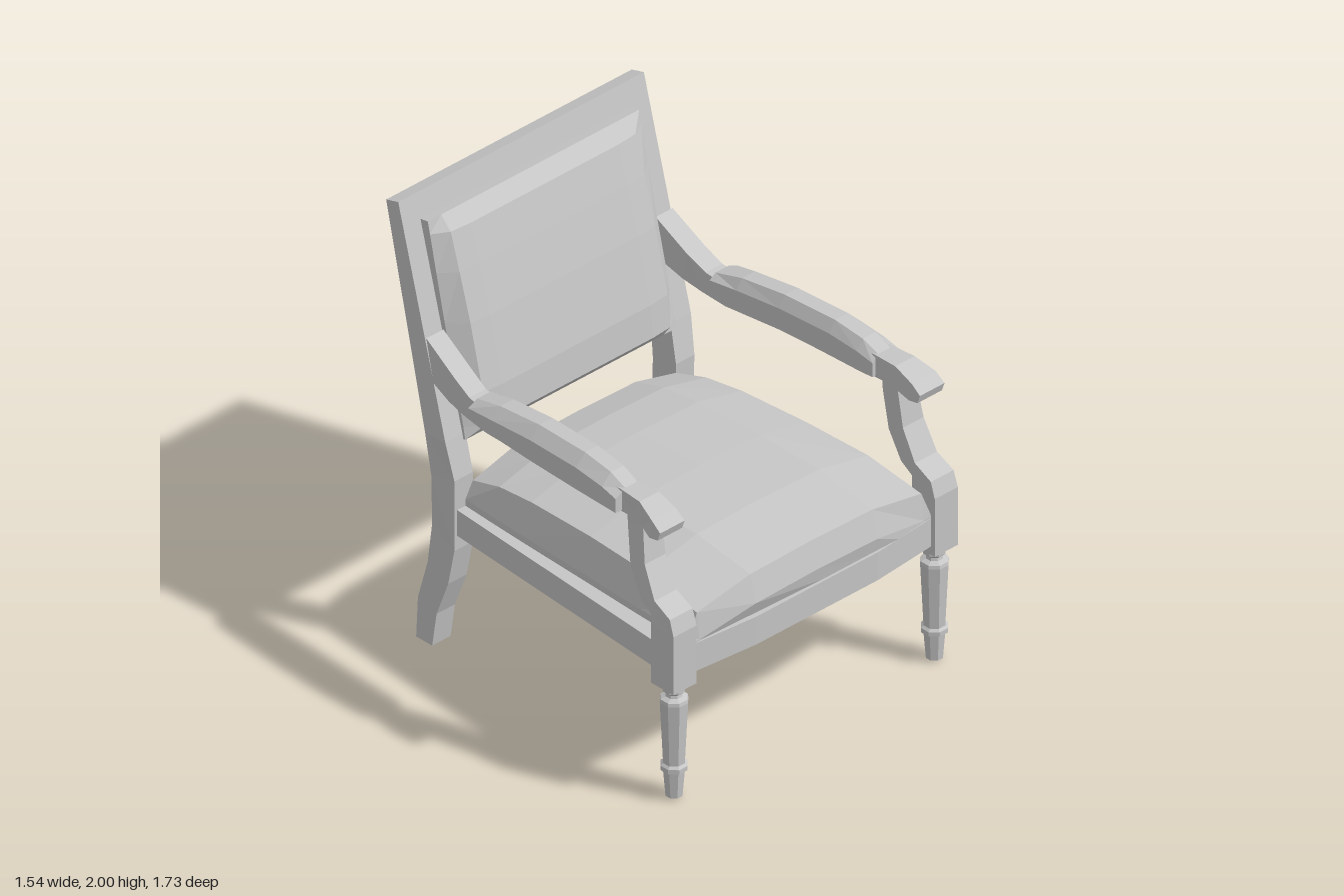
import * as THREE from 'three';

// Closed loft through equal-length loops of [x, y, z], capped, faceted, facing outward
function loft(loops) {
  const tris = [], n = loops[0].length, last = loops.length - 1;
  for (let i = 0; i < last; i++) {
    for (let j = 0; j < n; j++) {
      const k = (j + 1) % n, a = loops[i], b = loops[i + 1];
      tris.push([a[j], a[k], b[k]], [a[j], b[k], b[j]]);
    }
  }
  for (let j = 1; j < n - 1; j++) {
    tris.push([loops[0][0], loops[0][j + 1], loops[0][j]]);
    tris.push([loops[last][0], loops[last][j], loops[last][j + 1]]);
  }
  let volume = 0;
  for (const [a, b, c] of tris) {
    volume += a[0] * (b[1] * c[2] - b[2] * c[1]) + a[1] * (b[2] * c[0] - b[0] * c[2]) + a[2] * (b[0] * c[1] - b[1] * c[0]);
  }
  if (volume < 0) tris.forEach((t) => t.reverse());
  const geo = new THREE.BufferGeometry();
  geo.setAttribute('position', new THREE.Float32BufferAttribute(tris.flat(2), 3));
  geo.computeVertexNormals();
  return geo;
}

// Four-sided beam: each station is [zA, yA, zB, yB, xInner, xOuter]
function beam(stations, side = 1) {
  return loft(stations.map(([za, ya, zb, yb, xi, xo]) => [
    [side * xi, ya, za], [side * xo, ya, za], [side * xo, yb, zb], [side * xi, yb, zb],
  ]));
}

const rearLeg = [
  [-0.63, 0, -0.72, 0, 0.545, 0.645],
  [-0.605, 0.16, -0.71, 0.19, 0.545, 0.645],
  [-0.54, 0.33, -0.655, 0.38, 0.545, 0.645],
  [-0.505, 0.5, -0.63, 0.57, 0.545, 0.645],
  [-0.5, 0.83, -0.63, 0.8, 0.55, 0.65],
  [-0.535, 1.0, -0.65, 1.0, 0.555, 0.665],
];
const armPost = [
  [0.857, 0.53, 0.73, 0.53, 0.645, 0.77],
  [0.857, 0.8, 0.73, 0.8, 0.645, 0.77],
  [0.835, 0.87, 0.73, 0.85, 0.645, 0.768],
  [0.745, 0.915, 0.667, 0.89, 0.645, 0.765],
  [0.68, 1.05, 0.6, 1.01, 0.643, 0.755],
  [0.655, 1.21, 0.57, 1.18, 0.64, 0.74],
  [0.65, 1.29, 0.56, 1.29, 0.642, 0.736],
];
const armRail = [
  [0.782, 1.25, 0.768, 1.21, 0.637, 0.77],
  [0.735, 1.285, 0.72, 1.2, 0.637, 0.768],
  [0.64, 1.32, 0.65, 1.213, 0.64, 0.745],
  [0.53, 1.32, 0.57, 1.22, 0.64, 0.735],
  [0, 1.3, 0, 1.2, 0.62, 0.715],
  [-0.275, 1.28, -0.275, 1.185, 0.6, 0.695],
  [-0.38, 1.295, -0.4, 1.195, 0.595, 0.685],
  [-0.47, 1.34, -0.5, 1.215, 0.585, 0.678],
  [-0.64, 1.44, -0.6, 1.25, 0.575, 0.667],
];
// Arm pad stations: z, bottom, shoulder, top, xInner, xOuter
const armPad = [
  [0.53, 1.225, 1.29, 1.32, 0.622, 0.768],
  [0.45, 1.225, 1.31, 1.355, 0.616, 0.766],
  [0.3, 1.225, 1.325, 1.375, 0.61, 0.762],
  [0.03, 1.225, 1.32, 1.37, 0.598, 0.75],
  [-0.2, 1.23, 1.3, 1.343, 0.587, 0.74],
  [-0.34, 1.245, 1.285, 1.307, 0.578, 0.73],
];
// Turned front leg: radius, height
const turnedLeg = [
  [0, 0.01], [0.036, 0.01], [0.046, 0.13], [0.057, 0.135], [0.057, 0.155], [0.046, 0.165],
  [0.06, 0.45], [0.057, 0.465], [0.036, 0.475], [0.033, 0.487], [0.047, 0.5],
  [0.047, 0.515], [0.037, 0.535], [0, 0.535],
].map(([r, y]) => new THREE.Vector2(r, y));

export function createModel() {
  const group = new THREE.Group();
  const grey = new THREE.MeshStandardMaterial({ color: 0xc6c6c6 });
  grey.name = 'plain grey';
  const add = (name, geo) => {
    const mesh = new THREE.Mesh(geo, grey);
    mesh.name = name;
    group.add(mesh);
    return mesh;
  };

  // Legs and arms, mirrored
  for (const [label, s] of [['left', 1], ['right', -1]]) {
    add(label + 'RearLeg', beam(rearLeg, s));
    add(label + 'ArmPost', beam(armPost, s));
    add(label + 'ArmRail', beam(armRail, s));
    add(label + 'ArmPad', loft(armPad.map(([z, b, m, t, xi, xo]) => [
      [xi, b, z], [xi, m, z], [xi + 0.032, t, z], [xo - 0.05, t, z], [xo, m, z], [xo, b, z],
    ].map(([x, y, w]) => [s * x, y, w]))));
    const leg = new THREE.LatheGeometry(turnedLeg, 8, Math.PI / 8).toNonIndexed();
    leg.computeVertexNormals();
    add(label + 'FrontLeg', leg).position.set(s * 0.705, 0, 0.793);
  }

  // Back panel, leaning and thinning towards the top
  add('backPanel', beam([
    [-0.535, 1.0, -0.65, 1.0, -0.665, 0.665],
    [-0.8, 2.0, -0.868, 1.98, -0.665, 0.665],
  ]));

  // Back cushion: rows of [y, rim z, rim y shift, face z]
  const rimX = 0.572, faceX = 0.5;
  add('backCushion', loft([
    [0.98, -0.52, -0.52],
    [1.035, -0.53, -0.472],
    [1.18, -0.565, -0.487],
    [1.47, -0.635, -0.557],
    [1.68, -0.682, -0.618],
    [1.845, -0.718, -0.668],
    [1.9, -0.73, -0.73],
  ].map(([y, rim, face]) => {
    const bulge = face === rim ? 0 : 0.008;
    return [
      [-rimX, y - 0.01, rim - 0.06], [-rimX, y, rim], [-faceX, y, face - bulge], [-0.4, y, face],
      [0.4, y, face], [faceX, y, face - bulge], [rimX, y, rim], [rimX, y - 0.01, rim - 0.06],
    ];
  })));

  // Seat frame, narrowing to the back
  add('seatFrame', beam([
    [0.75, 0.69, 0.75, 0.57, -0.73, 0.73],
    [-0.5, 0.69, -0.5, 0.57, -0.635, 0.635],
  ]));
  add('rearRail', beam([
    [-0.49, 0.69, -0.49, 0.57, -0.56, 0.56],
    [-0.59, 0.69, -0.59, 0.57, -0.56, 0.56],
  ]));
  // Front rail with a bowed face
  const plan = [[-0.66, 0.73], [-0.66, 0.835], [-0.33, 0.865], [0.33, 0.865], [0.66, 0.835], [0.66, 0.73]];
  add('frontRail', loft([0.57, 0.7].map((y) => plan.map(([x, z]) => [x, y, z]))));

  // Domed seat cushion: [z at middle, z at sides, half width, crown height]
  add('seatCushion', loft([
    [0.865, 0.835, 0.648, 0.77],
    [0.832, 0.82, 0.648, 0.89],
    [0.53, 0.53, 0.64, 0.935],
    [0.2, 0.2, 0.625, 0.94],
    [-0.15, -0.15, 0.61, 0.928],
    [-0.34, -0.34, 0.6, 0.905],
    [-0.5, -0.5, 0.59, 0.855],
  ].map(([zm, zs, w, h]) => {
    const half = [[w, 0.6, zs], [w, Math.min(0.72, h - 0.06), zs], [w - 0.04, h - 0.065, zs], [0.33, h - 0.007, zm]];
    return [...half, [0, h, zm], ...half.map(([x, y, z]) => [-x, y, z]).reverse()];
  })));

  return group;
}
